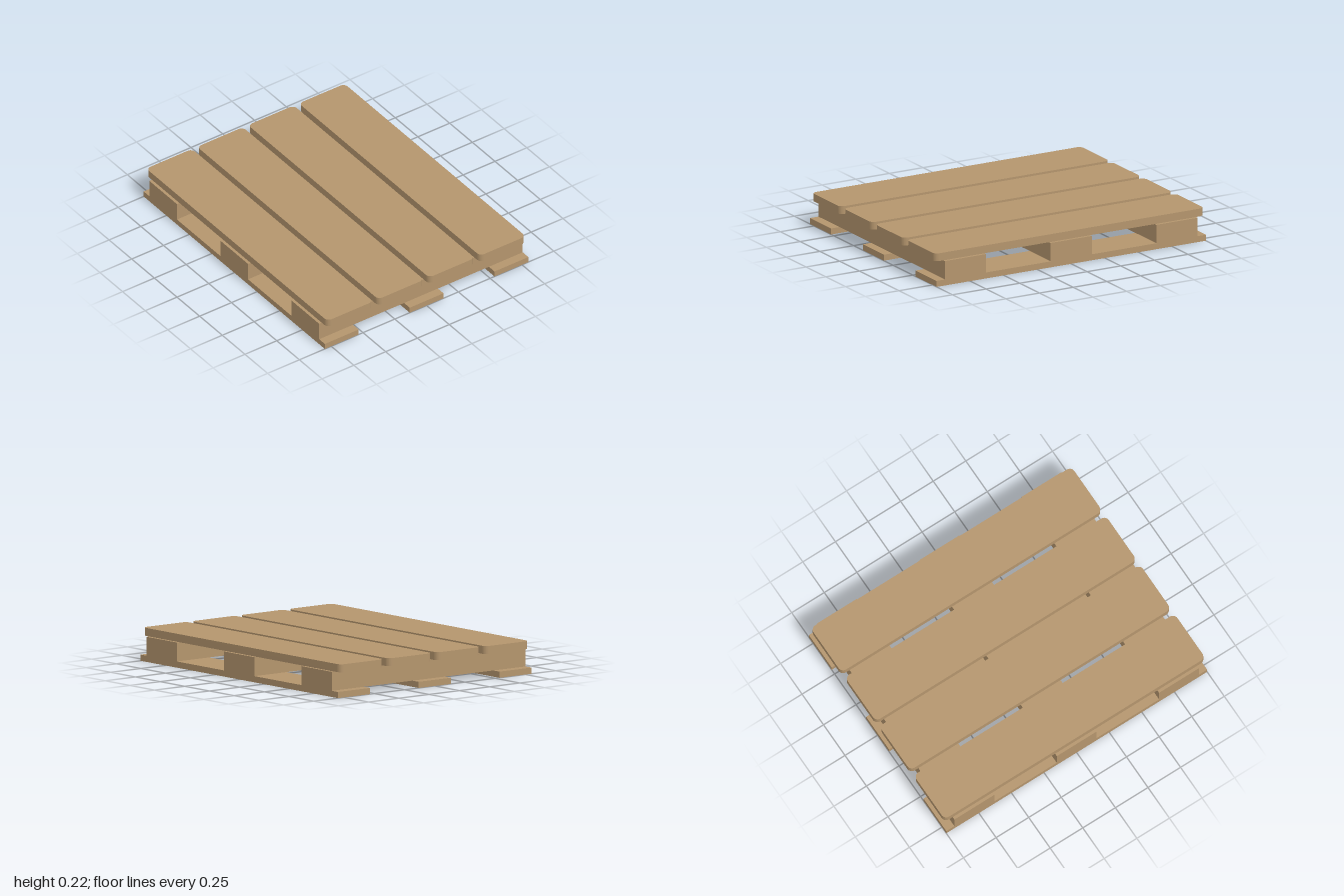
import * as THREE from 'three';
import { toCreasedNormals } from 'three/addons/utils/BufferGeometryUtils.js';

const TOP = 0.215, DECK_Y = 0.163, BASE_Y = 0.04;

// Board outline in plan, with rounded corners
function roundedBoard(length, width, height, r) {
  const x = length / 2, z = width / 2;
  const s = new THREE.Shape();
  s.absarc(x - r, z - r, r, 0, Math.PI / 2);
  s.absarc(-x + r, z - r, r, Math.PI / 2, Math.PI);
  s.absarc(-x + r, -z + r, r, Math.PI, Math.PI * 1.5);
  s.absarc(x - r, -z + r, r, Math.PI * 1.5, Math.PI * 2);
  s.closePath();
  const g = new THREE.ExtrudeGeometry(s, { depth: height, bevelEnabled: false, curveSegments: 6 });
  g.rotateX(-Math.PI / 2);
  return toCreasedNormals(g, 0.6);
}

export function createModel() {
  const pallet = new THREE.Group();
  pallet.name = 'pallet';
  const wood = new THREE.MeshStandardMaterial({ color: 0xb4956d });
  wood.name = 'wood';

  const add = (name, geometry, x, y, z) => {
    const mesh = new THREE.Mesh(geometry, wood);
    mesh.name = name;
    mesh.position.set(x, y, z);
    pallet.add(mesh);
  };

  // Four deck boards with rounded corners
  const deck = roundedBoard(2, 0.36, TOP - DECK_Y, 0.035);
  [-0.6, -0.2, 0.2, 0.6].forEach((z, i) => add(`deckBoard${i + 1}`, deck, 0, DECK_Y, z));

  // Three solid stringers running front to back
  const stringer = new THREE.BoxGeometry(0.306, DECK_Y - BASE_Y, 1.6);
  [-0.785, 0, 0.785].forEach((x, i) => add(`stringer${i + 1}`, stringer, x, (DECK_Y + BASE_Y) / 2, 0));

  // Three bottom boards
  const base = new THREE.BoxGeometry(2, BASE_Y, 0.266);
  [-0.667, 0, 0.667].forEach((z, i) => add(`bottomBoard${i + 1}`, base, 0, BASE_Y / 2, z));

  return pallet;
}
